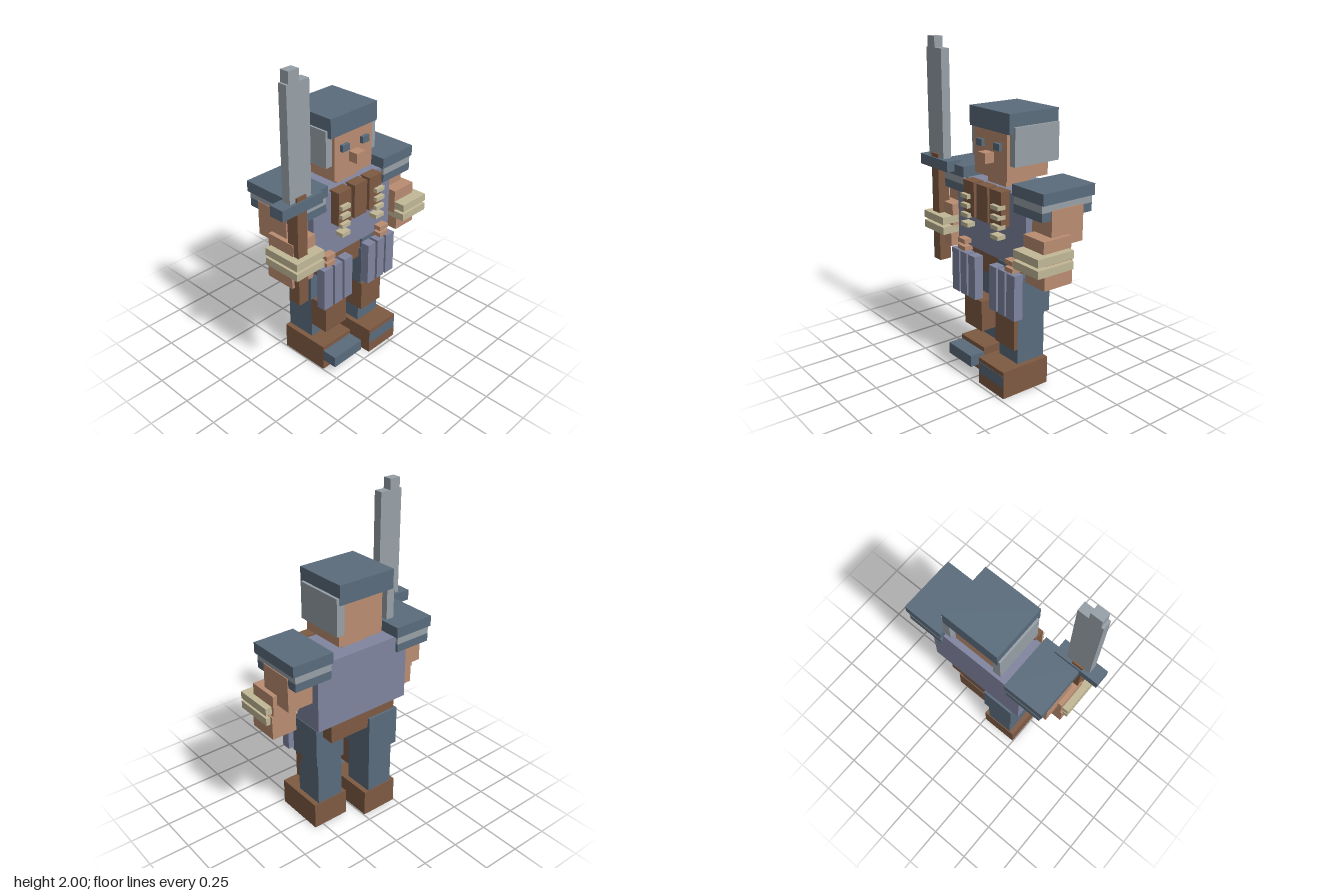
import * as THREE from 'three';

const mat = (name, color) => {
  const m = new THREE.MeshStandardMaterial({ color });
  m.name = name;
  return m;
};

export function createModel() {
  const steel = mat('steel blue', 0x5a6c7c);
  const grey = mat('light grey', 0x97a0a7);
  const skin = mat('skin', 0xb98c71);
  const leather = mat('leather brown', 0x7e5a43);
  const cloth = mat('muted purple', 0x80849f);
  const tan = mat('tan', 0xc2b897);

  const model = new THREE.Group();
  model.name = 'warrior';
  const group = (name) => {
    const g = new THREE.Group();
    g.name = name;
    model.add(g);
    return g;
  };
  // Box from its extents along each axis
  const box = (parent, name, material, x0, x1, y0, y1, z0, z1) => {
    const mesh = new THREE.Mesh(new THREE.BoxGeometry(x1 - x0, y1 - y0, z1 - z0), material);
    mesh.position.set((x0 + x1) / 2, (y0 + y1) / 2, (z0 + z1) / 2);
    mesh.name = name;
    parent.add(mesh);
  };
  // The body's symmetry plane lies a little to the left of the origin
  const mid = 0.032;
  const pair = (parent, name, material, x0, x1, ...rest) => {
    box(parent, name + 'Left', material, mid + x0, mid + x1, ...rest);
    box(parent, name + 'Right', material, mid - x1, mid - x0, ...rest);
  };

  // Head and helmet
  const head = group('head');
  box(head, 'face', skin, -0.12, 0.185, 1.25, 1.53, -0.185, 0.108);
  box(head, 'neck', skin, -0.055, 0.115, 1.17, 1.25, -0.12, 0.06);
  box(head, 'nose', skin, -0.005, 0.065, 1.34, 1.4, 0.1, 0.17);
  pair(head, 'eye', steel, 0.053, 0.108, 1.42, 1.46, 0.1, 0.13);
  box(head, 'helmetCap', steel, -0.155, 0.215, 1.52, 1.635, -0.232, 0.115);
  pair(head, 'cheekGuard', grey, 0.15, 0.2, 1.34, 1.56, -0.225, 0.09);

  // Torso with leather chest panels and small clasps
  const torso = group('torso');
  box(torso, 'tunic', cloth, -0.29, 0.353, 0.78, 1.2, -0.21, 0.11);
  box(torso, 'waist', leather, -0.22, 0.25, 0.655, 0.79, -0.195, 0.1);
  for (const x of [-0.15, -0.02, 0.105])
    box(torso, 'chestPanel', leather, x, x + 0.104, 1.0, 1.21, 0.1, 0.17);
  for (const y of [0.935, 0.993, 1.05, 1.107])
    pair(torso, 'clasp', tan, 0.11, 0.178, y, y + 0.025, 0.14, 0.195);
  for (const y of [0.755, 0.8])
    pair(torso, 'skirtStrap', skin, 0.194, 0.265, y, y + 0.028, 0.09, 0.158);
  box(torso, 'beltPatch', steel, 0.11, 0.2, 0.7, 0.78, 0.05, 0.115);

  // Hanging skirt plates
  for (const [x, w] of [[0.07, 0.066], [0.155, 0.062], [0.233, 0.072]])
    pair(torso, 'skirtPlate', cloth, x, x + w, 0.485, 0.757, 0.115, 0.175);

  // Layered shoulder armour
  const shoulders = group('shoulderArmour');
  pair(shoulders, 'shoulderTop', steel, 0.23, 0.493, 1.2, 1.265, -0.232, 0.135);
  pair(shoulders, 'shoulderBand', grey, 0.24, 0.478, 1.155, 1.2, -0.226, 0.13);
  pair(shoulders, 'shoulderRim', steel, 0.24, 0.478, 1.105, 1.155, -0.226, 0.13);

  // Arms
  const arms = group('arms');
  pair(arms, 'upperArm', skin, 0.31, 0.483, 0.95, 1.16, -0.16, 0.065);
  pair(arms, 'forearm', skin, 0.34, 0.51, 0.86, 1.01, -0.053, 0.142);
  pair(arms, 'hand', skin, 0.362, 0.522, 0.735, 0.88, -0.053, 0.142);
  for (const y of [0.83, 0.893])
    pair(arms, 'bracelet', tan, 0.34, 0.55, y, y + 0.046, -0.037, 0.213);

  // Legs: the left one steps forward
  const leg = (name, x, back, thigh) => {
    const g = group(name);
    box(g, 'thigh', steel, thigh[0], thigh[1], 0.465, 0.715, back - 0.115, back + 0.12);
    box(g, 'shin', steel, x - 0.088, x + 0.088, 0.16, 0.47, back - 0.095, back + 0.1);
    box(g, 'boot', leather, x - 0.12, x + 0.12, 0, 0.17, back - 0.1, back + 0.229);
    box(g, 'shinGuard', leather, x - 0.088, x + 0.088, 0.265, 0.46, 0, 0.127);
    box(g, 'toePlate', steel, x - 0.117, x + 0.117, 0.07, 0.142, 0.13, 0.231);
  };
  leg('leftLeg', 0.189, 0, [0.1, 0.3]);
  leg('rightLeg', -0.126, -0.095, [-0.235, -0.02]);

  // Sword held upright in the right hand
  const sword = group('sword');
  box(sword, 'handle', leather, -0.472, -0.402, 0.63, 1.31, 0.1, 0.178);
  box(sword, 'guard', steel, -0.583, -0.29, 1.22, 1.285, 0.092, 0.187);
  box(sword, 'blade', grey, -0.512, -0.358, 1.28, 1.935, 0.112, 0.168);
  box(sword, 'bladeTip', grey, -0.497, -0.425, 1.935, 2.0, 0.112, 0.168);

  return model;
}
